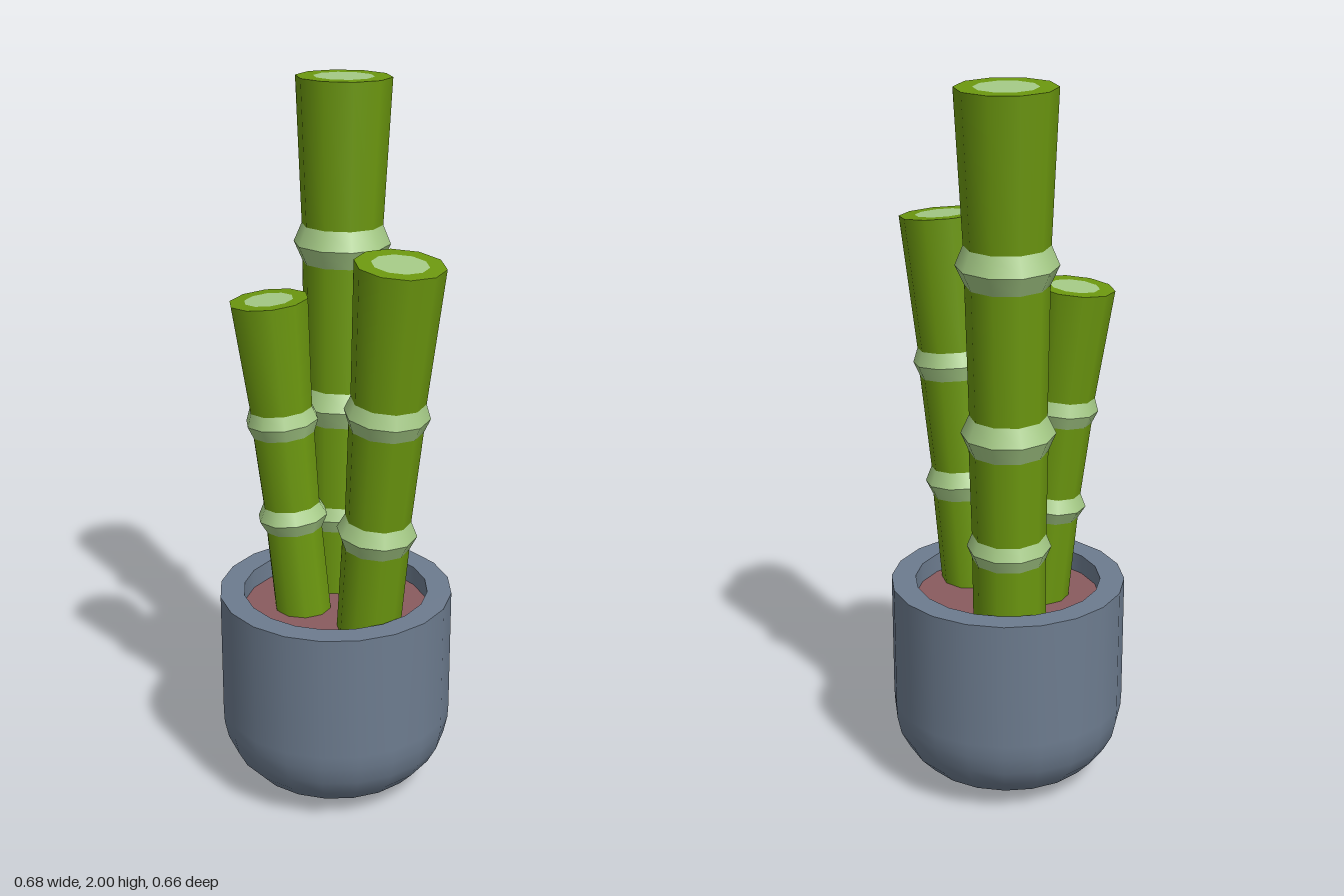
import * as THREE from 'three';

const flat = (name, color) => new THREE.MeshStandardMaterial({ name, color });
const green = flat('stalkGreen', 0x6c980f);
const pale = flat('paleGreen', 0xa5ca86);
const slate = flat('potSlate', 0x6d7c8f);
const earth = flat('soilBrown', 0x8a5b5f);

// Revolved band; separate bands keep the edges between them sharp
function band(parent, name, material, profile, sides, phase) {
  const points = profile.map(([r, y]) => new THREE.Vector2(r, y));
  const start = THREE.MathUtils.degToRad(phase);
  const mesh = new THREE.Mesh(new THREE.LatheGeometry(points, sides, start), material);
  mesh.name = name;
  parent.add(mesh);
}

// Leaning cane: segments[i] = [lower radius, upper radius]; nodes[i] = [height, radius, half height]
function makeStalk({ name, base, top, phase, segments, nodes, pith }) {
  const stalk = new THREE.Group();
  stalk.name = name;
  const from = new THREE.Vector3(...base);
  const axis = new THREE.Vector3(...top).sub(from);
  const length = axis.length();
  const along = (y) => (y - base[1]) / (top[1] - base[1]) * length;
  const add = (part, mat, profile) => band(stalk, part, mat, profile, 10, phase);

  let y = 0;
  segments.forEach(([r0, r1], i) => {
    const node = nodes[i];
    const end = node ? along(node[0]) - node[2] : length;
    add('caneSegment', green, [[r0, y], [r1, end]]);
    if (!node) return;
    const [height, radius, half] = node;
    const mid = along(height);
    y = mid + half;
    add('nodeLower', pale, [[r1, end], [radius, mid]]);
    add('nodeUpper', pale, [[radius, mid], [segments[i + 1][0], y]]);
  });

  // Cut end: green wall around a pale core
  const rim = segments[segments.length - 1][1];
  add('cutWall', green, [[rim, length], [pith, length]]);
  add('cutCore', pale, [[pith, length], [0, length]]);

  stalk.position.copy(from);
  stalk.quaternion.setFromUnitVectors(new THREE.Vector3(0, 1, 0), axis.normalize());
  return stalk;
}

export function createModel() {
  const model = new THREE.Group();
  model.name = 'pottedCanes';

  // Round-bottomed pot with a thick rim
  const pot = new THREE.Group();
  pot.name = 'pot';
  pot.position.set(-0.016, 0, 0.003);
  band(pot, 'potBody', slate, [
    [0, 0.004], [0.09, 0.006], [0.15, 0.012], [0.2, 0.03], [0.25, 0.06], [0.29, 0.103],
    [0.315, 0.15], [0.326, 0.2], [0.328, 0.24], [0.328, 0.6],
  ], 20, 4);
  band(pot, 'potRim', slate, [[0.328, 0.6], [0.26, 0.6]], 20, 4);
  band(pot, 'potInside', slate, [[0.26, 0.6], [0.26, 0.54]], 20, 4);
  band(pot, 'soil', earth, [[0.26, 0.545], [0, 0.545]], 20, 4);
  model.add(pot);

  model.add(makeStalk({
    name: 'tallStalk', base: [-0.086, 0.53, -0.143], top: [-0.099, 1.998, -0.198], phase: 4,
    segments: [[0.099, 0.1], [0.1, 0.105], [0.103, 0.11], [0.112, 0.131]],
    nodes: [[0.768, 0.114, 0.036], [1.095, 0.126, 0.05], [1.55, 0.134, 0.052]],
    pith: 0.083,
  }));
  model.add(makeStalk({
    name: 'leftStalk', base: [0.127, 0.53, 0.077], top: [0.225, 1.6, 0.102], phase: 3,
    segments: [[0.088, 0.092], [0.09, 0.1], [0.1, 0.119]],
    nodes: [[0.843, 0.11, 0.042], [1.19, 0.115, 0.04]],
    pith: 0.075,
  }));
  model.add(makeStalk({
    name: 'rightStalk', base: [-0.094, 0.53, 0.05], top: [-0.178, 1.443, 0.076], phase: -1,
    segments: [[0.08, 0.08], [0.08, 0.087], [0.088, 0.108]],
    nodes: [[0.825, 0.098, 0.036], [1.105, 0.101, 0.036]],
    pith: 0.067,
  }));

  return model;
}
